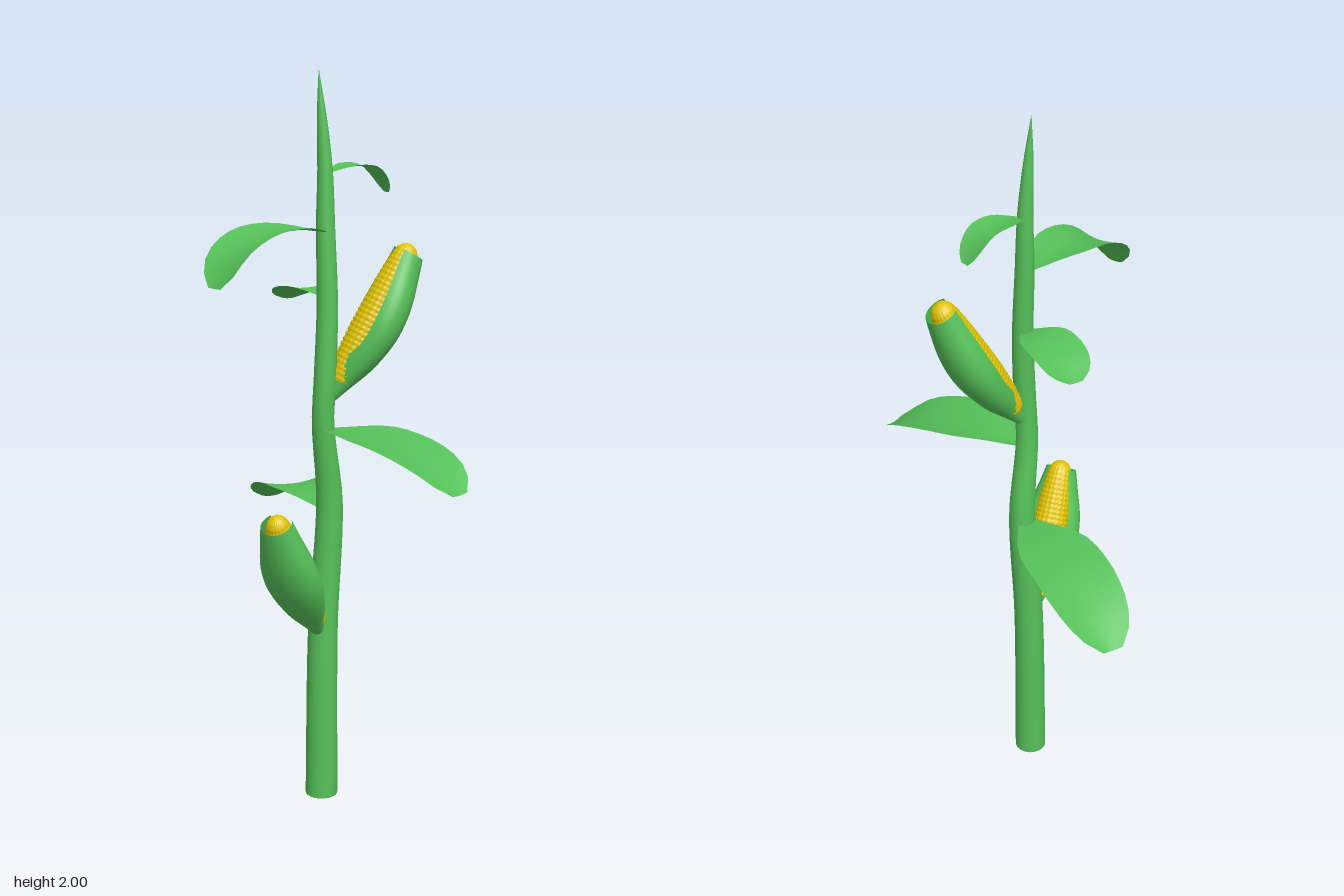
import * as THREE from 'three';

const green = new THREE.MeshStandardMaterial({ color: 0x55c058, side: THREE.DoubleSide });
const yellow = new THREE.MeshStandardMaterial({ color: 0xe0c400 });
const V = (x, y, z) => new THREE.Vector3(x, y, z);

// Surface from a grid of points: u runs along the part, v across or around it.
function surface(nu, nv, closed, point) {
  const cols = closed ? nv : nv + 1, pos = [], idx = [];
  for (let i = 0; i <= nu; i++)
    for (let j = 0; j < cols; j++) pos.push(...point(i / nu, j / nv).toArray());
  for (let i = 0; i < nu; i++)
    for (let j = 0; j < nv; j++) {
      const k = (j + 1) % cols;
      const a = i * cols + j, b = a + cols, c = i * cols + k, d = c + cols;
      idx.push(a, b, c, c, b, d);
    }
  const g = new THREE.BufferGeometry();
  g.setAttribute('position', new THREE.Float32BufferAttribute(pos, 3));
  g.setIndex(idx);
  g.computeVertexNormals();
  return g;
}

// Smooth interpolation through [t, value] pairs.
function profile(pairs) {
  return (t) => {
    let i = 0;
    while (i < pairs.length - 2 && t > pairs[i + 1][0]) i++;
    const [t0, a] = pairs[i], [t1, b] = pairs[i + 1];
    const before = pairs[Math.max(i - 1, 0)], after = pairs[Math.min(i + 2, pairs.length - 1)];
    const h = t1 - t0, s = (t - t0) / h;
    const m0 = (b - before[1]) / (t1 - before[0]) * h, m1 = (after[1] - a) / (after[0] - t0) * h;
    const s2 = s * s, s3 = s2 * s;
    return (2 * s3 - 3 * s2 + 1) * a + (s3 - 2 * s2 + s) * m0 + (3 * s2 - 2 * s3) * b + (s3 - s2) * m1;
  };
}

function add(parent, name, geometry, material) {
  const mesh = new THREE.Mesh(geometry, material);
  mesh.name = name;
  parent.add(mesh);
  return mesh;
}

// Gently bent stalk, given as [height, x, z, radius], tapering to a point.
function addStalk(parent) {
  const knots = [
    [0, 0.037, 0.03, 0.045], [0.5, 0.04, 0.03, 0.041], [0.85, 0.058, 0.03, 0.036],
    [1.08, 0.033, 0.045, 0.03], [1.2, 0.037, 0.048, 0.03], [1.4, 0.046, 0.04, 0.028],
    [1.6, 0.044, 0.03, 0.025], [1.75, 0.044, 0.025, 0.02], [1.88, 0.036, 0.022, 0.013], [2, 0.028, 0.02, 0.0005],
  ];
  const [x, z, r] = [1, 2, 3].map((k) => profile(knots.map((p) => [p[0], p[k]])));
  add(parent, 'stalk', surface(40, 18, true, (u, v) => {
    const y = u * 2, a = v * Math.PI * 2;
    return V(x(y) + r(y) * Math.cos(a), y, z(y) + r(y) * Math.sin(a));
  }), green);
  add(parent, 'stalkBase', new THREE.CircleGeometry(0.045, 18).rotateX(Math.PI / 2), green)
    .position.set(0.037, 0, 0.03);
}

// Drooping leaf: a shallow trough swept along its midrib.
const leafWidth = profile([[0, 0.18], [0.15, 0.55], [0.32, 0.92], [0.5, 1], [0.7, 0.95], [0.85, 0.78], [0.95, 0.52], [1, 0.27]]);
function addLeaf(parent, name, halfWidth, midrib) {
  const curve = new THREE.CatmullRomCurve3(midrib.map((p) => V(...p)));
  add(parent, name, surface(12, 6, false, (u, v) => {
    const tangent = curve.getTangentAt(u);
    const side = V(0, 1, 0).cross(tangent).normalize();
    const normal = tangent.clone().cross(side);
    const s = v * 2 - 1, w = halfWidth * leafWidth(u);
    return curve.getPointAt(u).addScaledVector(side, s * w).addScaledVector(normal, 0.14 * w * (s * s - 0.4));
  }), green);
}

// Ear: a kernel-covered cob in two overlapping husk leaves, open on the stalk side.
const LENGTH = 0.465;
const bow = (t) => 0.022 * Math.sin(Math.PI * t);
const huskRadius = profile([[0, 0.014], [0.12, 0.032], [0.28, 0.062], [0.48, 0.084], [0.65, 0.08], [0.85, 0.056], [1, 0.038]]);
const cobRadius = profile([[0, 0.02], [0.2, 0.042], [0.45, 0.052], [0.7, 0.048], [0.88, 0.039], [0.96, 0.029], [0.99, 0.016], [1, 0.001]]);
function addEar(parent, name, position, turn, scale) {
  const ear = new THREE.Group();
  ear.name = name;
  ear.position.set(...position);
  ear.rotation.set(0, turn, -0.52);
  ear.scale.setScalar(scale);
  parent.add(ear);

  const rows = 28, columns = 20;
  add(ear, 'cob', surface(rows * 4, columns * 4, true, (u, v) => {
    const t = 0.12 + 0.88 * u, a = v * Math.PI * 2;
    const groove = Math.abs(Math.sin(u * rows * Math.PI) * Math.sin(v * columns * Math.PI));
    const r = cobRadius(t) * (0.95 + 0.06 * Math.sqrt(groove));
    return V(bow(t) - 0.013 * Math.sin(Math.PI * t) + r * Math.cos(a), t * LENGTH, r * Math.sin(a));
  }), yellow);

  for (const side of [-1, 1]) {
    add(ear, side < 0 ? 'innerHusk' : 'outerHusk', surface(18, 14, false, (u, v) => {
      const t = u * 0.95;
      const gap = 0.85 * THREE.MathUtils.smoothstep(t, 0.1, 0.4);
      const from = -0.15, to = Math.PI - gap;
      const a = side > 0 ? from + (to - from) * v : -to + (to - from) * v;
      const r = huskRadius(t) * (side > 0 ? 1.04 : 1);
      const flat = 1 - 0.3 * Math.sin(Math.PI * t);
      return V(bow(t) + r * flat * Math.cos(a), t * LENGTH, r * Math.sin(a));
    }), green);
  }
}

export function createModel() {
  const plant = new THREE.Group();
  plant.name = 'cornPlant';
  addStalk(plant);

  addLeaf(plant, 'lowerBackLeaf', 0.107,
    [[0.055, 0.835, 0.02], [0.058, 0.85, -0.12], [0.058, 0.835, -0.26], [0.058, 0.79, -0.38], [0.058, 0.735, -0.47]]);
  addLeaf(plant, 'lowerFrontLeaf', 0.104,
    [[0.04, 1.065, 0.05], [0.1, 1.075, 0.17], [0.165, 1.06, 0.29], [0.215, 1.025, 0.39], [0.245, 0.975, 0.455]]);
  addLeaf(plant, 'middleBackLeaf', 0.075,
    [[0.045, 1.42, 0.03], [0.035, 1.435, -0.04], [0.025, 1.42, -0.12], [0.023, 1.38, -0.2]]);
  addLeaf(plant, 'upperRightLeaf', 0.085,
    [[0.04, 1.59, 0.035], [-0.07, 1.61, 0.075], [-0.18, 1.6, 0.115], [-0.255, 1.555, 0.145], [-0.298, 1.48, 0.165]]);
  addLeaf(plant, 'upperLeftLeaf', 0.045,
    [[0.05, 1.74, 0.022], [0.12, 1.755, 0], [0.18, 1.748, -0.014], [0.215, 1.715, -0.022], [0.236, 1.68, -0.027]]);

  addEar(plant, 'upperEar', [0.048, 1.145, 0.045], 0, 1);
  addEar(plant, 'lowerEar', [0.025, 0.49, 0.045], Math.PI + 0.66, 0.96);
  return plant;
}
